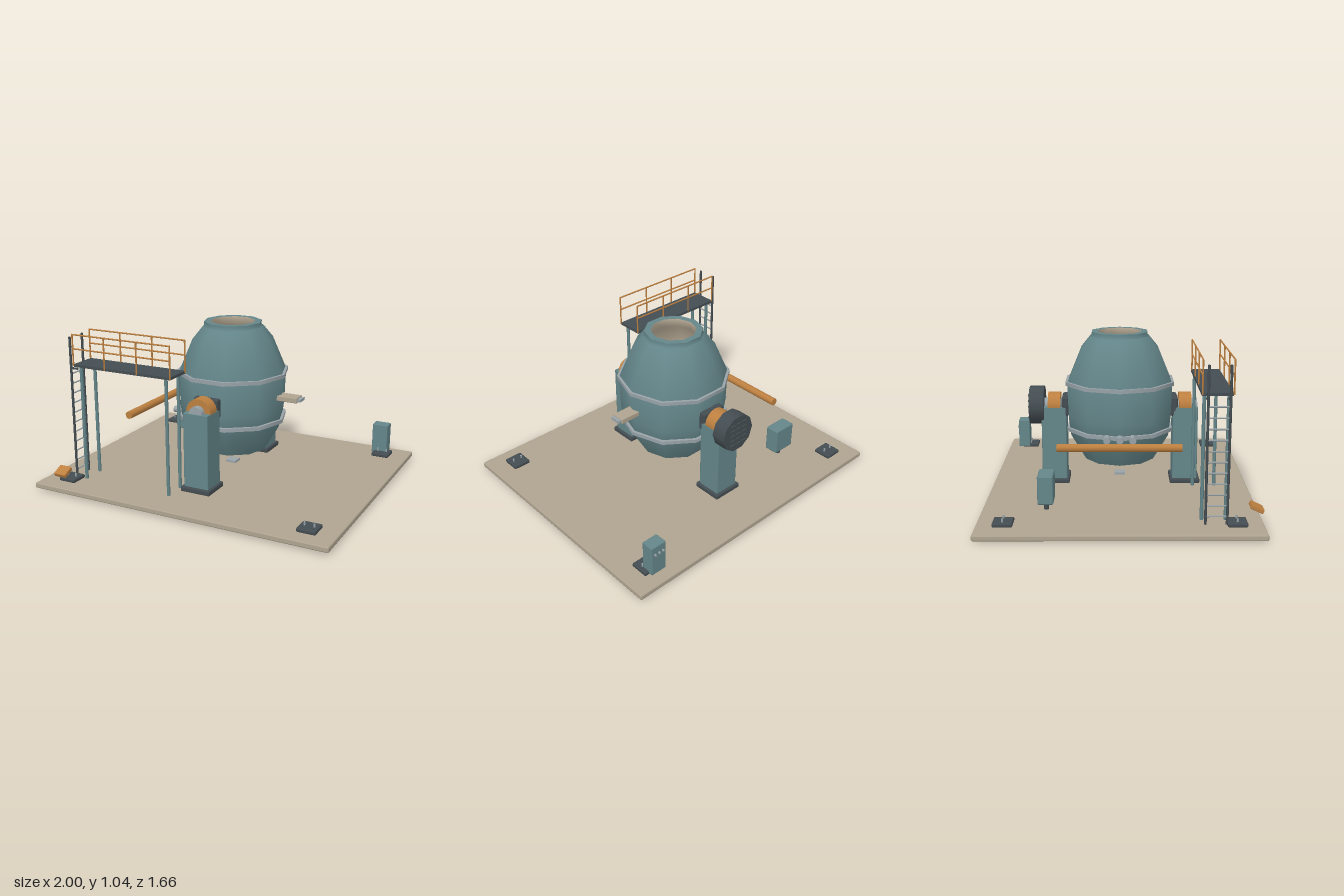
import * as THREE from 'three';
import { RoundedBoxGeometry } from 'three/addons/geometries/RoundedBoxGeometry.js';

function material(name, color) {
  const m = new THREE.MeshStandardMaterial({ color });
  m.name = name;
  return m;
}

export function createModel() {
  const root = new THREE.Group();
  root.name = 'tiltingFurnacePlant';

  const teal = material('paintedTeal', 0x64868a);
  const dark = material('darkSteel', 0x444d52);
  const orange = material('safetyOrange', 0xbd8040);
  const grey = material('brightSteel', 0x98a3a8);
  const stone = material('concrete', 0xafa490);
  const lining = material('refractory', 0xc8baa3);

  const add = (name, geometry, mat, x = 0, y = 0, z = 0) => {
    const mesh = new THREE.Mesh(geometry, mat);
    mesh.name = name;
    mesh.position.set(x, y, z);
    root.add(mesh);
    return mesh;
  };
  // Box given by its min and max on each axis
  const box = (name, mat, x0, x1, y0, y1, z0, z1, bevel = 0) => {
    const s = [x1 - x0, y1 - y0, z1 - z0];
    const g = bevel ? new RoundedBoxGeometry(...s, 1, bevel) : new THREE.BoxGeometry(...s);
    return add(name, g, mat, (x0 + x1) / 2, (y0 + y1) / 2, (z0 + z1) / 2);
  };
  // Cylinder along one axis, centred at x, y, z
  const rod = (name, mat, axis, r, len, x, y, z, sides = 10) => {
    const g = new THREE.CylinderGeometry(r, r, len, sides);
    if (axis === 'x') g.rotateZ(Math.PI / 2);
    if (axis === 'z') g.rotateX(Math.PI / 2);
    return add(name, g, mat, x, y, z);
  };
  // Ten-sided turned part with a corner on the x axis
  const turned = (name, mat, profile) => add(name, new THREE.LatheGeometry(
    profile.map(([r, y]) => new THREE.Vector2(r, y)), 10, Math.PI / 2), mat);

  // Floor slab with small anchor pins beneath
  box('floorSlab', stone, -1, 1, 0.012, 0.047, -0.83, 0.83, 0.008);
  rod('anchorPin', dark, 'y', 0.005, 0.02, 0, 0.01, 0, 8);
  rod('anchorPin', dark, 'y', 0.012, 0.014, 0.22, 0.012, -0.22, 8);

  // Vessel shell, neck and lining
  turned('vesselBottom', teal, [[0.05, 0.21], [0.23, 0.21]]);
  turned('vesselShell', teal, [[0.23, 0.21], [0.33, 0.38], [0.345, 0.5], [0.353, 0.72], [0.262, 0.935], [0.2, 1.01]]);
  turned('vesselNeck', teal, [[0.2, 1.01], [0.187, 1.02], [0.187, 1.045]]);
  turned('vesselLip', teal, [[0.187, 1.045], [0.145, 1.045]]);
  turned('vesselLining', lining, [[0.145, 1.045], [0.15, 0.99], [0.23, 0.92], [0.32, 0.72], [0.3, 0.4], [0.2, 0.24], [0.05, 0.22], [0.05, 0.21]]);
  for (const [y, r, inner] of [[0.72, 0.365, 0.34], [0.42, 0.355, 0.325]]) {
    const h = 0.012;
    turned('vesselBand', grey, [[inner, y - h], [r, y - h], [r, y - h], [r, y + h], [r, y + h], [inner, y + h]]);
  }
  box('drainPlate', grey, -0.035, 0.035, 0.088, 0.102, -0.035, 0.035);

  // Pouring spout and air nozzles
  box('pouringSpout', stone, 0.33, 0.47, 0.566, 0.6, -0.045, 0.045, 0.005);
  box('spoutTip', grey, 0.465, 0.492, 0.575, 0.592, -0.035, 0.035);
  for (const z of [-0.08, 0, 0.08]) {
    rod('airNozzle', grey, 'x', 0.022, 0.07, -0.362, 0.42, z);
    rod('nozzleCollar', grey, 'x', 0.017, 0.08, -0.3, 0.42, z);
  }

  // Trunnion supports, front and back
  for (const s of [1, -1]) {
    const span = (name, mat, w, y0, y1, a, b, bevel) =>
      box(name, mat, -w, w, y0, y1, Math.min(s * a, s * b), Math.max(s * a, s * b), bevel);
    span('pillarFoot', dark, 0.102, 0.047, 0.08, 0.33, 0.525, 0.008);
    span('pillar', teal, 0.085, 0.075, 0.56, 0.345, 0.507, 0.006);
    span('trunnionPlate', dark, 0.085, 0.5, 0.625, 0.328, 0.376, 0.012);
    rod('bearingCap', orange, 'z', 0.085, 0.08, 0, 0.56, s * 0.425, 16);
    rod('trunnionShaft', grey, 'z', 0.045, 0.21, 0, 0.56, s * 0.4, 12);
  }

  // Tilt drive with vent slats
  const drive = rod('tiltDrive', dark, 'z', 0.125, 0.095, 0, 0.56, -0.538, 10);
  drive.rotation.z = Math.PI / 10;
  for (let row = -2; row <= 2; row++) {
    for (let col = -1; col <= 1; col++) {
      const x = col * 0.05, y = 0.56 + row * 0.036;
      box('ventSlat', dark, x - 0.018, x + 0.018, y - 0.005, y + 0.005, -0.593, -0.585);
    }
  }

  // Feed pipe
  rod('feedPipe', orange, 'z', 0.025, 0.745, -0.575, 0.43, -0.003, 10);

  // Walkway with legs and railings
  box('walkwayDeck', dark, -0.79, -0.09, 0.794, 0.811, 0.457, 0.637);
  for (const x of [-0.75, -0.132]) {
    for (const z of [0.475, 0.615]) rod('walkwayLeg', teal, 'y', 0.011, 0.75, x, 0.42, z, 8);
  }
  for (const z of [0.461, 0.638]) {
    for (let i = 0; i < 4; i++) rod('railPost', orange, 'y', 0.005, 0.2, -0.79 + i * 0.2333, 0.9, z, 6);
    for (const y of [0.91, 1.0]) rod('handRail', orange, 'x', 0.005, 0.705, -0.44, y, z, 6);
  }

  // Ladder
  for (const z of [0.49, 0.615]) {
    rod('ladderRail', dark, 'y', 0.008, 0.93, -0.828, 0.512, z, 8);
    box('ladderBracket', dark, -0.83, -0.775, 0.772, 0.782, z - 0.006, z + 0.006);
  }
  for (let i = 0; i < 11; i++) rod('ladderRung', grey, 'z', 0.005, 0.125, -0.828, 0.095 + i * 0.0645, 0.5525, 6);

  // Corner pads with bolts
  for (const x of [-0.825, 0.825]) {
    for (const z of [-0.672, 0.672]) {
      box('cornerPad', dark, x - 0.059, x + 0.059, 0.047, 0.072, z - 0.059, z + 0.059, 0.008);
      for (const dx of [-0.03, 0.03]) rod('padBolt', grey, 'y', 0.006, 0.03, x + dx, 0.077, z, 8);
    }
  }

  // Control cabinet on a short post
  box('controlCabinet', teal, -0.655, -0.495, 0.1, 0.276, -0.49, -0.395, 0.008);
  rod('cabinetPost', dark, 'y', 0.015, 0.065, -0.575, 0.075, -0.442, 8);

  // Rear cabinet with buttons on its back
  box('rearCabinet', teal, 0.748, 0.855, 0.055, 0.26, -0.757, -0.675, 0.006);
  for (const x of [0.77, 0.8, 0.83]) rod('cabinetButton', grey, 'z', 0.008, 0.014, x, 0.205, -0.76, 8);

  // Tilted control pad by the ladder
  const pad = box('tiltedPad', orange, -0.848, -0.762, 0.13, 0.157, 0.745, 0.825, 0.005);
  pad.rotation.x = 0.45;

  return root;
}
